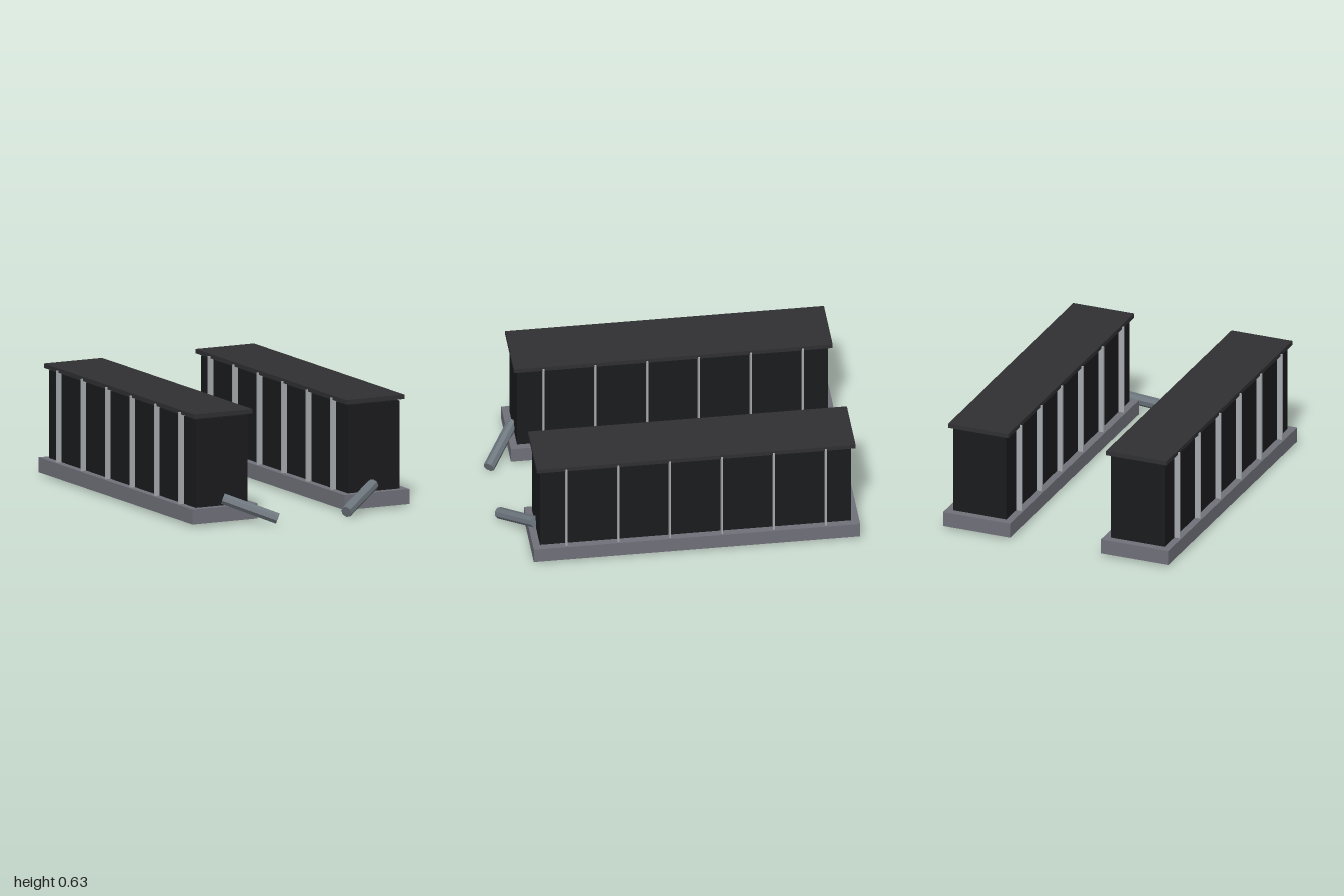
import * as THREE from 'three';

const paint = (color) => new THREE.MeshStandardMaterial({ color, flatShading: true });
const baseGrey = paint(0x70707a), shell = paint(0x1a1b1d), lidGrey = paint(0x303033);
const finGrey = paint(0xa6aaae), pipeGrey = paint(0x6c757d);

// Box given by its lower and upper corners
function box(name, [x0, y0, z0], [x1, y1, z1], material) {
  const mesh = new THREE.Mesh(new THREE.BoxGeometry(x1 - x0, y1 - y0, z1 - z0), material);
  mesh.position.set((x0 + x1) / 2, (y0 + y1) / 2, (z0 + z1) / 2);
  mesh.name = name;
  return mesh;
}

// Eight-sided pipe between two points
function pipe(name, from, to, radius, material) {
  const axis = to.clone().sub(from);
  const mesh = new THREE.Mesh(new THREE.CylinderGeometry(radius, radius, axis.length(), 8), material);
  mesh.position.copy(from).add(to).multiplyScalar(0.5);
  mesh.quaternion.setFromUnitVectors(new THREE.Vector3(0, 1, 0), axis.normalize());
  mesh.name = name;
  return mesh;
}

// One long cabinet; side is +1 for left (+x), -1 for right
function createBank(side) {
  const bank = new THREE.Group();
  bank.name = side > 0 ? 'leftBank' : 'rightBank';
  const cx = side * 0.48;
  const part = (name, halfWidth, y0, y1, z0, z1, material) =>
    bank.add(box(name, [cx - halfWidth, y0, z0], [cx + halfWidth, y1, z1], material));

  part('base', 0.205, 0.015, 0.1, -1, 0.84, baseGrey);
  part('body', 0.163, 0.1, 0.6, -0.954, 0.8, shell);
  part('lid', 0.184, 0.61, 0.635, -0.977, 0.82, lidGrey);

  // Thin ribs wrapping the body
  for (let i = 0; i < 6; i++) {
    const z = 0.654 - i * 0.2925;
    part('rib', 0.195, 0.1, 0.622, z - 0.005, z + 0.005, finGrey);
  }

  // Slanted pipe running inward and down from the front
  bank.add(pipe('frontPipe', new THREE.Vector3(side * 0.217, 0.031, 0.972),
    new THREE.Vector3(side * 0.475, 0.139, 0.804), 0.033, pipeGrey));
  return bank;
}

export function createModel() {
  const model = new THREE.Group();
  model.name = 'twinCabinets';
  for (const side of [1, -1]) model.add(createBank(side));
  return model;
}
